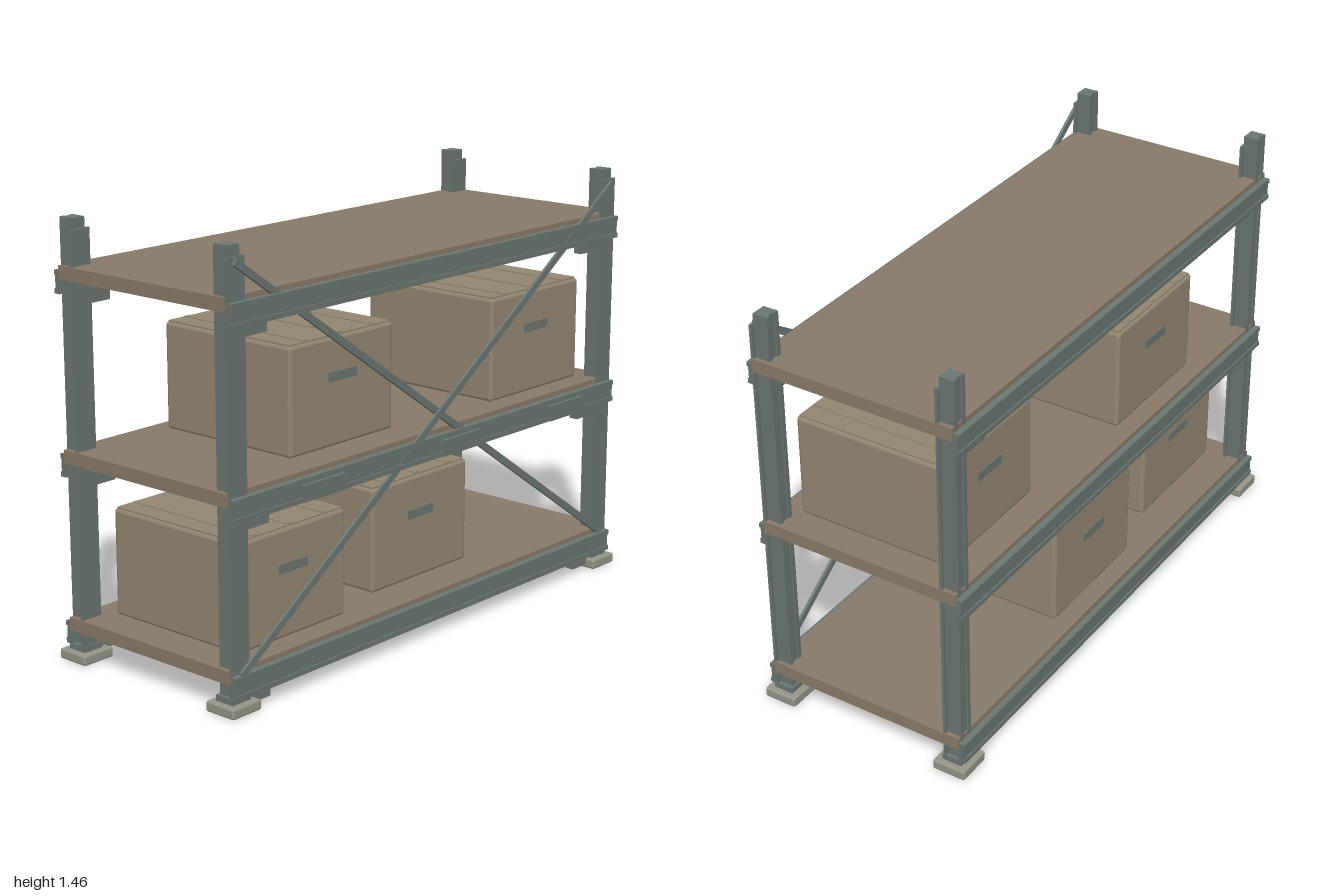
import * as THREE from 'three';
import { RoundedBoxGeometry } from 'three/addons/geometries/RoundedBoxGeometry.js';

const mat = (color) => new THREE.MeshStandardMaterial({ color, flatShading: true });

export function createModel() {
  const root = new THREE.Group();
  const steel = mat(0x6b7772), wood = mat(0x8a7b69), card = mat(0x958873), pad = mat(0x96968a);

  // Box given by its min and max on each axis, optionally with bevelled edges
  const block = (parent, name, m, [x0, x1], [y0, y1], [z0, z1], bevel = 0) => {
    const size = [x1 - x0, y1 - y0, z1 - z0];
    const geo = bevel ? new RoundedBoxGeometry(...size, 1, bevel) : new THREE.BoxGeometry(...size);
    const mesh = new THREE.Mesh(geo, m);
    mesh.name = name;
    mesh.position.set((x0 + x1) / 2, (y0 + y1) / 2, (z0 + z1) / 2);
    parent.add(mesh);
    return mesh;
  };
  const about = (c, half) => [c - half, c + half];

  // Uprights: core, wide front web, rear ribs, foot
  for (const sx of [-1, 1]) for (const sz of [-1, 1]) {
    const post = new THREE.Group();
    post.name = 'upright';
    const cx = sx * 0.938, cz = sz * 0.337;
    block(post, 'postCore', steel, about(cx, 0.027), [0.03, 1.465], about(cz, 0.024));
    block(post, 'postWeb', steel, about(cx, 0.04), [0.03, 1.43], [cz + 0.022, cz + 0.032]);
    for (const r of [-1, 1])
      block(post, 'postRib', steel, about(cx + r * 0.02, 0.008), [0.03, 1.465], [cz - 0.03, cz - 0.02]);
    block(post, 'footPlate', pad, about(sx * 0.938, 0.062), [0, 0.035], about(cz, 0.06), 0.006);
    block(post, 'footSocket', steel, about(cx, 0.04), [0.03, 0.055], about(cz, 0.036));
    root.add(post);
  }

  // Shelves: deck, middle joist, front and back beams, corner brackets
  for (const top of [0.145, 0.712, 1.312]) {
    const shelf = new THREE.Group();
    shelf.name = 'shelf';
    block(shelf, 'deck', wood, [-0.98, 0.98], [top - 0.045, top], [-0.366, 0.366]);
    block(shelf, 'joist', wood, about(0, 0.03), [top - 0.09, top - 0.044], [-0.362, 0.362]);
    for (const s of [-1, 1]) {
      block(shelf, 'beam', steel, [-0.978, 0.978], [top - 0.092, top - 0.018], about(s * 0.373, 0.01));
      for (const y of [top - 0.025, top - 0.085])
        block(shelf, 'beamLip', steel, [-0.978, 0.978], about(y, 0.008), about(s * 0.376, 0.012));
      for (const sx of [-1, 1])
        block(shelf, 'bracket', steel, about(sx * 0.848, 0.05), [top - 0.132, top - 0.045], about(s * 0.345, 0.016));
    }
    root.add(shelf);
  }

  // Clips on the front of the middle beam
  for (const x of [-0.575, 0.103, 0.69])
    block(root, 'beamClip', steel, about(x, 0.098), [0.62, 0.675], [0.38, 0.395]);

  // Crossed front braces
  for (const s of [-1, 1]) {
    const dx = 1.89, dy = 1.29;
    const brace = new THREE.Mesh(new THREE.BoxGeometry(Math.hypot(dx, dy), 0.024, 0.01), steel);
    brace.name = 'brace';
    brace.position.set(0, 0.77, s > 0 ? 0.38 : 0.373);
    brace.rotation.z = s * Math.atan2(dy, dx);
    root.add(brace);
  }

  // Cartons: body, top flaps with a seam, handle plates front and back
  const cartons = [[-0.338, 0.712, -0.025], [0.63, 0.712, 0.015], [-0.635, 0.156, 0.03], [0.063, 0.156, -0.03]];
  for (const [x, y, z] of cartons) {
    const carton = new THREE.Group();
    carton.name = 'carton';
    carton.position.set(x, y, z);
    block(carton, 'cartonBody', card, [-0.246, 0.246], [0, 0.362], [-0.278, 0.278], 0.01);
    for (const s of [-1, 1]) {
      block(carton, 'cartonFlap', card, about(s * 0.121, 0.117), [0.355, 0.367], [-0.27, 0.27]);
      block(carton, 'handle', steel, about(0, 0.066), [0.216, 0.247], about(s * 0.278, 0.003));
    }
    for (const sx of [-0.16, 0, 0.16])
      block(carton, 'flapStrip', card, about(sx, 0.012), [0.364, 0.37], [-0.265, 0.265]);
    root.add(carton);
  }
  return root;
}
